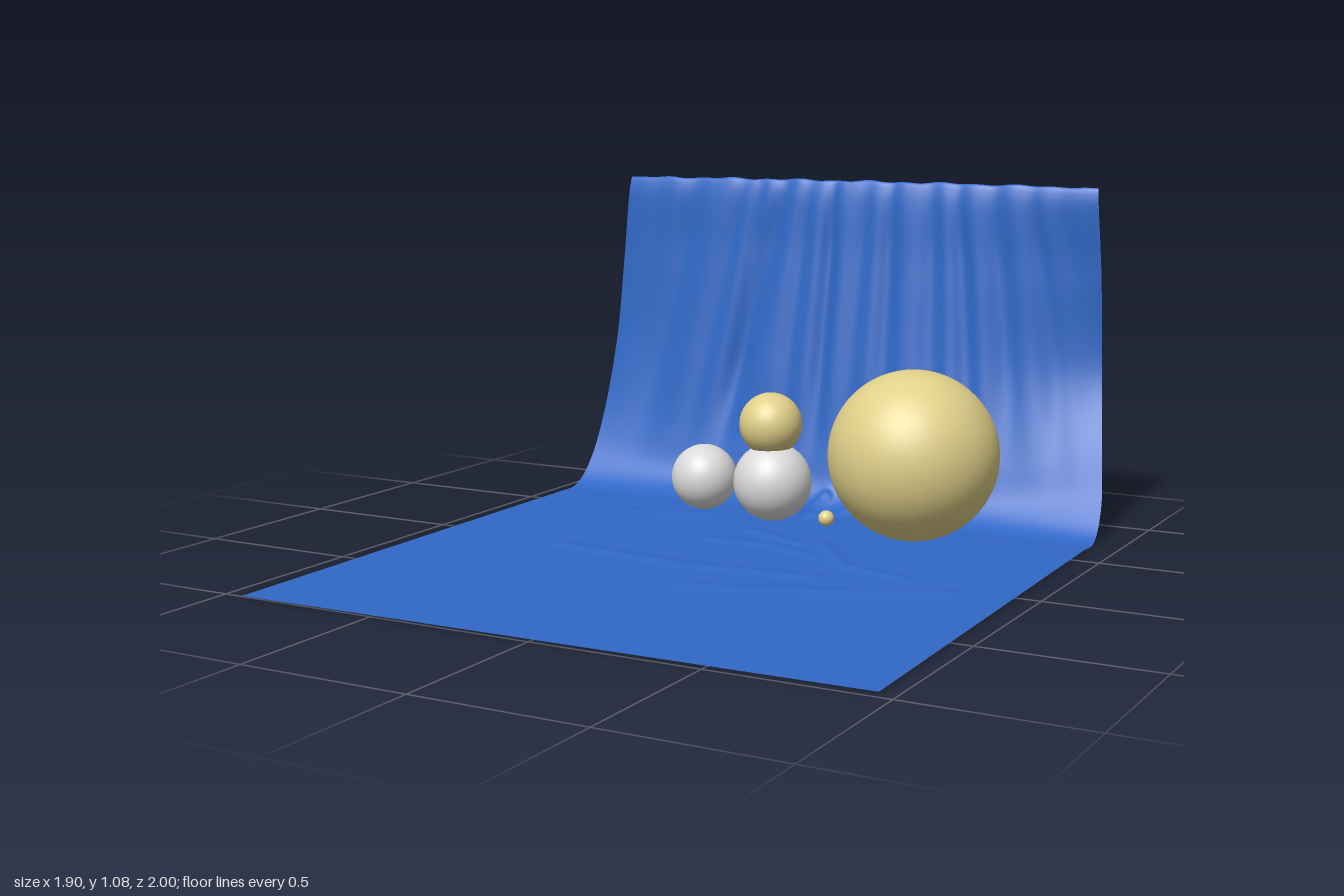
import * as THREE from 'three';

const blue = new THREE.MeshStandardMaterial({ color: 0x3068c6, side: THREE.DoubleSide });
blue.name = 'blueCloth';
const gold = new THREE.MeshStandardMaterial({ color: 0xe0d089 });
gold.name = 'paleGold';
const silver = new THREE.MeshStandardMaterial({ color: 0xdadada });
silver.name = 'lightGrey';

const curve = (pts) => new THREE.CatmullRomCurve3(pts.map((p) => new THREE.Vector3(...p)));

// Wall profiles from the floor up to the rolled hem: left edge, middle, right edge
const leftEdge = curve([[-0.95, 0.005, -0.6], [-0.95, 0.012, -0.71], [-0.945, 0.08, -0.79], [-0.935, 0.22, -0.86],
  [-0.912, 0.5, -0.925], [-0.89, 0.8, -0.945], [-0.87, 1.03, -0.95], [-0.868, 1.07, -0.965], [-0.866, 1.055, -0.985]]);
const middle = curve([[0, 0.008, -0.6], [0, 0.012, -0.72], [0, 0.06, -0.79], [0, 0.18, -0.825],
  [0, 0.47, -0.87], [0, 0.8, -0.913], [0, 1.04, -0.943], [0, 1.075, -0.96], [0, 1.06, -0.985]]);
const rightEdge = curve([[0.915, 0.005, -0.6], [0.91, 0.008, -0.73], [0.9, 0.1, -0.82], [0.875, 0.24, -0.89],
  [0.835, 0.49, -0.992], [0.828, 0.8, -0.982], [0.82, 1.03, -0.958], [0.815, 1.07, -0.97], [0.81, 1.06, -0.99]]);

// Hanging creases: x at the top, x at the bottom, depth, width
const creases = [[-0.74, -0.86, 0.01, 0.05], [-0.6, -0.8, 0.022, 0.05], [-0.42, -0.62, 0.014, 0.035],
  [-0.35, -0.45, 0.016, 0.03], [-0.26, -0.5, 0.028, 0.04], [-0.17, -0.24, 0.014, 0.03], [-0.08, -0.1, 0.024, 0.025],
  [0.04, 0.0, 0.014, 0.035], [0.13, 0.14, 0.02, 0.03], [0.27, 0.32, 0.018, 0.035], [0.36, 0.46, 0.02, 0.03],
  [0.48, 0.6, 0.02, 0.04], [0.6, 0.78, 0.016, 0.035], [0.7, 0.9, 0.012, 0.04]];

// Floor wrinkles: x1, z1, x2, z2, height, width
const wrinkles = [[-0.5, 0.07, -0.05, 0.12, 0.008, 0.03], [-0.05, 0.12, 0.36, 0.08, 0.008, 0.03],
  [0.08, 0.33, 0.45, 0.2, 0.007, 0.03], [0.45, 0.2, 0.77, 0.06, 0.007, 0.03],
  [0.2, -0.3, 0.36, -0.09, 0.009, 0.025], [0.36, -0.09, 0.58, -0.03, 0.007, 0.025],
  [-0.14, -0.21, 0.08, -0.21, 0.008, 0.025], [0.08, -0.21, 0.26, -0.14, 0.008, 0.025],
  [-0.08, -0.36, 0.16, -0.26, 0.01, 0.025], [-0.58, -0.44, -0.3, -0.52, 0.006, 0.03],
  [-0.28, -0.74, -0.2, -0.66, 0.025, 0.02], [-0.16, -0.78, -0.12, -0.62, 0.03, 0.02],
  [-0.02, -0.77, -0.08, -0.64, 0.025, 0.02], [0.1, -0.74, 0.0, -0.63, 0.018, 0.02]];

const gauss = (d, w) => Math.exp(-(d * d) / (w * w));

function wrinkleHeight(x, z) {
  let h = 0;
  for (const [x1, z1, x2, z2, height, width] of wrinkles) {
    const dx = x2 - x1, dz = z2 - z1;
    const t = THREE.MathUtils.clamp(((x - x1) * dx + (z - z1) * dz) / (dx * dx + dz * dz), 0, 1);
    h = Math.max(h, height * gauss(Math.hypot(x - x1 - t * dx, z - z1 - t * dz), width));
  }
  return h;
}

function creaseDepth(x, y) {
  const lift = THREE.MathUtils.smoothstep(y, 0.06, 0.5) * (1 - 0.65 * THREE.MathUtils.smoothstep(y, 0.85, 1.07));
  let d = 0;
  for (const [top, bottom, depth, width] of creases) {
    const cx = THREE.MathUtils.lerp(bottom, top, Math.min(y / 1.05, 1));
    d += depth * gauss(x - cx, width * (1.5 - 0.5 * y));
  }
  return d * lift;
}

// One continuous sheet: flat floor, then the curved wall
function makeCloth() {
  const cols = 180, floorRows = 90, wallRows = 90, rows = floorRows + wallRows;
  const pos = [], index = [];
  for (let j = 0; j <= rows; j++) {
    const wallT = Math.max(0, (j - floorRows) / wallRows);
    const floorT = Math.min(1, j / floorRows);
    const L = leftEdge.getPoint(wallT), M = middle.getPoint(wallT), R = rightEdge.getPoint(wallT);
    if (j < floorRows) {
      L.set(-0.942 - 0.008 * floorT, 0.002 + 0.003 * floorT, THREE.MathUtils.lerp(1, -0.6, floorT));
      M.set(0, 0.002 + 0.006 * floorT, THREE.MathUtils.lerp(0.983, -0.6, floorT));
      R.set(0.95 - 0.035 * floorT, 0.002 + 0.003 * floorT, THREE.MathUtils.lerp(0.966, -0.6, floorT));
    }
    for (let i = 0; i <= cols; i++) {
      const u = (i / cols) * 2 - 1;
      const side = u < 0 ? L : R;
      const k = j < floorRows ? Math.abs(u) : Math.pow(Math.abs(u), 2.6);
      const x = THREE.MathUtils.lerp(L.x, R.x, i / cols);
      let y = THREE.MathUtils.lerp(M.y, side.y, k);
      let z = THREE.MathUtils.lerp(M.z, side.z, k);
      const edgeFade = 1 - Math.pow(Math.abs(u), 8);
      const rise = wrinkleHeight(x, z) * (1 - THREE.MathUtils.smoothstep(y, 0.05, 0.25));
      z -= (creaseDepth(x, y) - 0.008 * THREE.MathUtils.smoothstep(y, 0.1, 0.5)) * edgeFade;
      // Uneven gathered hem
      if (y > 1) y += 0.004 * Math.sin(x * 37) * Math.sin(x * 13 + 1) * edgeFade;
      pos.push(x, y + rise, Math.max(z, -1));
    }
  }
  const w = cols + 1;
  for (let j = 0; j < rows; j++) {
    for (let i = 0; i < cols; i++) {
      const a = j * w + i, b = a + 1, c = a + w, d = c + 1;
      index.push(a, b, c, b, d, c);
    }
  }
  const geo = new THREE.BufferGeometry();
  geo.setAttribute('position', new THREE.Float32BufferAttribute(pos, 3));
  geo.setIndex(index);
  geo.computeVertexNormals();
  const mesh = new THREE.Mesh(geo, blue);
  mesh.name = 'drapedCloth';
  return mesh;
}

function makeBall(name, radius, x, y, z, material) {
  const mesh = new THREE.Mesh(new THREE.SphereGeometry(radius, 64, 40), material);
  mesh.position.set(x, y, z);
  mesh.name = name;
  return mesh;
}

export function createModel() {
  const group = new THREE.Group();
  group.name = 'ballsOnDrapedCloth';
  group.add(
    makeCloth(),
    makeBall('largeGoldBall', 0.263, 0.4, 0.266, -0.515, gold),
    makeBall('smallGreyBall', 0.105, -0.31, 0.14, -0.475, silver),
    makeBall('greyBaseBall', 0.125, -0.08, 0.14, -0.507, silver),
    makeBall('stackedGoldBall', 0.1, -0.087, 0.325, -0.507, gold),
    makeBall('tinyGoldBall', 0.025, 0.11, 0.04, -0.507, gold),
  );
  return group;
}
